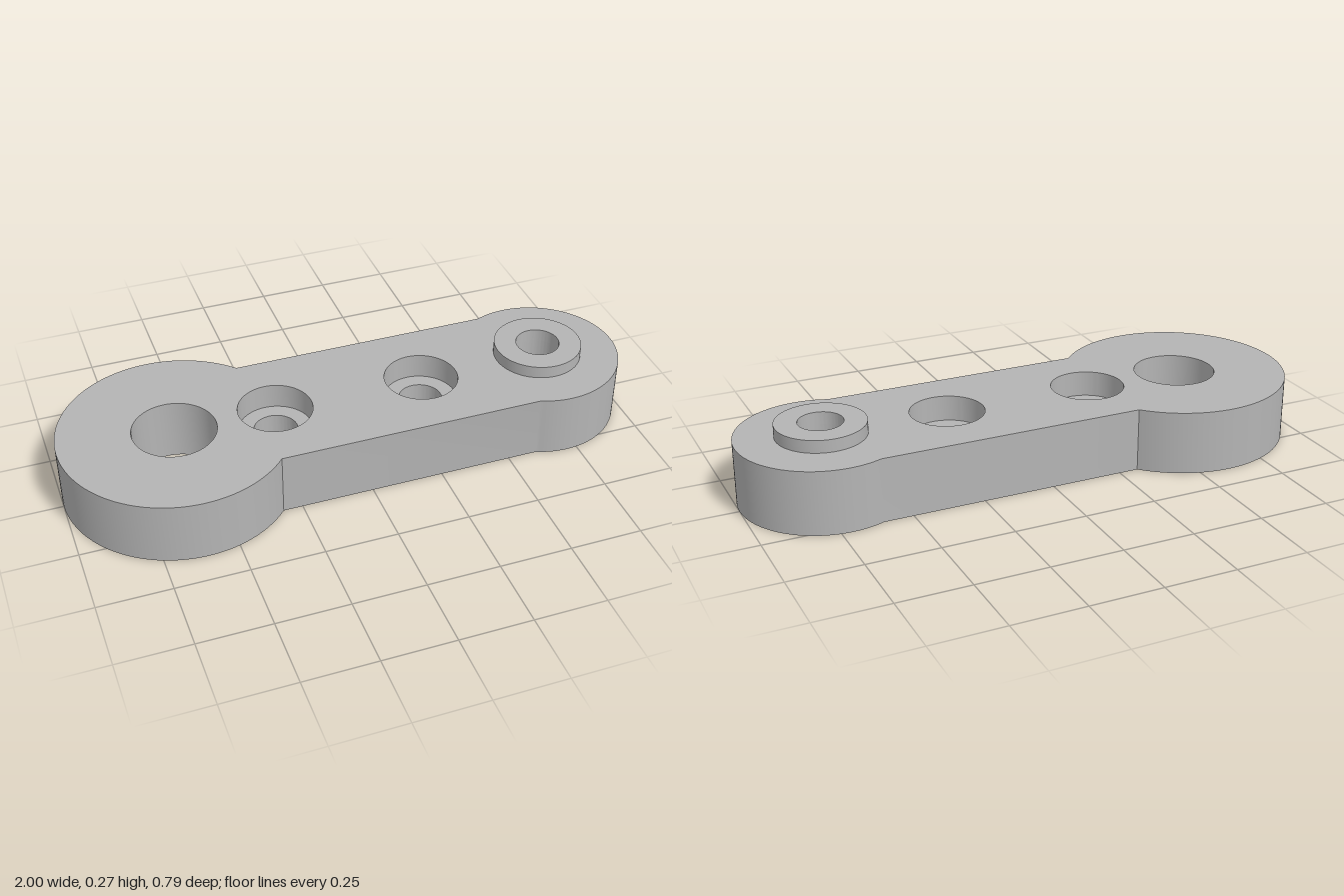
import * as THREE from 'three';
import { toCreasedNormals } from 'three/addons/utils/BufferGeometryUtils.js';

const HEIGHT = 0.222, TOP = 0.266;         // plate and boss heights
const BIG = { x: -0.607, r: 0.393 };       // large rounded end
const SMALL = { x: 0.713, r: 0.287 };      // small rounded end
const HALF_WIDTH = 0.265;                  // half width of the bar
const BORE = 0.143, HOLE = 0.076, RECESS = 0.128, BOSS = 0.153;
const DEPTH = 0.09;                        // depth of every recess

const circle = (C, x, r) => new C().absarc(x, 0, r, 0, Math.PI * 2, false);

// Extrude a plan shape upwards from y0 to y1 with smooth round walls
function slab(name, shape, y0, y1, material) {
  const flat = new THREE.ExtrudeGeometry(shape, { depth: y1 - y0, bevelEnabled: false, curveSegments: 40 });
  flat.rotateX(-Math.PI / 2).translate(0, y0, 0);
  const mesh = new THREE.Mesh(toCreasedNormals(flat, 0.5), material);
  mesh.name = name;
  return mesh;
}

function ring(name, x, inner, outer, y0, y1, material) {
  const shape = circle(THREE.Shape, x, outer);
  shape.holes.push(circle(THREE.Path, x, inner));
  return slab(name, shape, y0, y1, material);
}

export function createModel() {
  const group = new THREE.Group();
  group.name = 'linkArm';
  const grey = new THREE.MeshStandardMaterial({ color: 0xb4b4b4 });
  grey.name = 'grey';

  // Arm outline: two round ends joined by a straight bar
  const a = Math.asin(HALF_WIDTH / BIG.r), b = Math.asin(HALF_WIDTH / SMALL.r);
  const outline = new THREE.Shape();
  outline.absarc(BIG.x, 0, BIG.r, a, Math.PI * 2 - a, false);
  outline.absarc(SMALL.x, 0, SMALL.r, b - Math.PI, Math.PI - b, false);
  outline.closePath();
  outline.holes.push(circle(THREE.Path, BIG.x, BORE));

  // Recessed screw holes: wide above, narrow below
  const screws = [-0.257, 0.272];
  for (const x of [...screws, SMALL.x]) outline.holes.push(circle(THREE.Path, x, RECESS));
  group.add(slab('arm', outline, 0, HEIGHT, grey));
  screws.forEach((x, i) =>
    group.add(ring(`screwSeat${i + 1}`, x, HOLE, RECESS, 0, HEIGHT - DEPTH, grey)));

  // Raised boss, recessed from below
  group.add(ring('bossSeat', SMALL.x, HOLE, RECESS, DEPTH, HEIGHT, grey));
  group.add(ring('boss', SMALL.x, HOLE, BOSS, HEIGHT, TOP, grey));
  return group;
}
